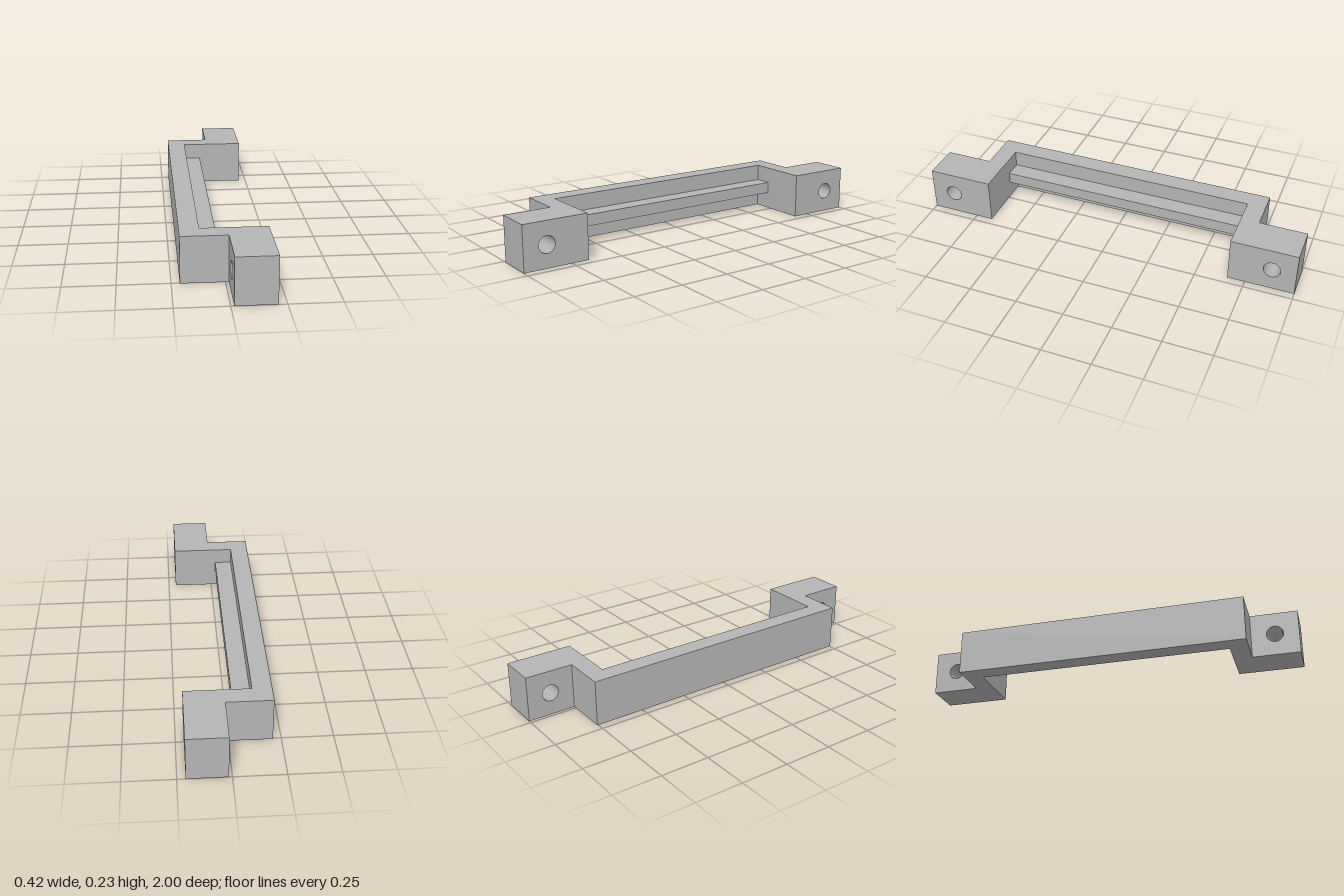
import * as THREE from 'three';
import { toCreasedNormals } from 'three/addons/utils/BufferGeometryUtils.js';

const HEIGHT = 0.232;
const OUTER = -0.21, INNER = -0.115, FOOT = 0.015, MOUNT = 0.21; // x positions
const ARM_IN = 0.66, ARM_OUT = 0.755, END = 1; // z positions

export function createModel() {
  const group = new THREE.Group();
  const grey = new THREE.MeshStandardMaterial({ color: 0xb4b4b4 });
  grey.name = 'grey';

  function add(name, geometry) {
    const mesh = new THREE.Mesh(geometry, grey);
    mesh.name = name;
    group.add(mesh);
    return mesh;
  }

  // U-shaped grip with its two arms
  const outline = new THREE.Shape([
    [OUTER, -ARM_OUT], [MOUNT, -ARM_OUT], [MOUNT, -ARM_IN], [INNER, -ARM_IN],
    [INNER, ARM_IN], [MOUNT, ARM_IN], [MOUNT, ARM_OUT], [OUTER, ARM_OUT],
  ].map(([x, z]) => new THREE.Vector2(x, z)));
  const grip = new THREE.ExtrudeGeometry(outline, { depth: HEIGHT, bevelEnabled: false });
  grip.rotateX(-Math.PI / 2);
  add('grip', grip);

  // Stiffening rib along the inside of the grip
  const ribDepth = 0.09;
  add('rib', new THREE.BoxGeometry(ribDepth, 0.06, ARM_IN * 2))
    .position.set(INNER + ribDepth / 2, 0.118, 0);

  // Mounting feet, each with a round screw hole through it
  const half = (END - ARM_OUT) / 2;
  const face = new THREE.Shape([
    new THREE.Vector2(-half, 0), new THREE.Vector2(half, 0),
    new THREE.Vector2(half, HEIGHT), new THREE.Vector2(-half, HEIGHT),
  ]);
  face.holes.push(new THREE.Path().absarc(0, HEIGHT / 2, 0.043, 0, Math.PI * 2, true));
  const foot = toCreasedNormals(
    new THREE.ExtrudeGeometry(face, { depth: MOUNT - FOOT, bevelEnabled: false, curveSegments: 32 }),
    Math.PI / 6,
  );
  foot.rotateY(Math.PI / 2);
  for (const [name, side] of [['frontFoot', 1], ['backFoot', -1]]) {
    add(name, foot).position.set(FOOT, 0, side * (ARM_OUT + half));
  }

  return group;
}
